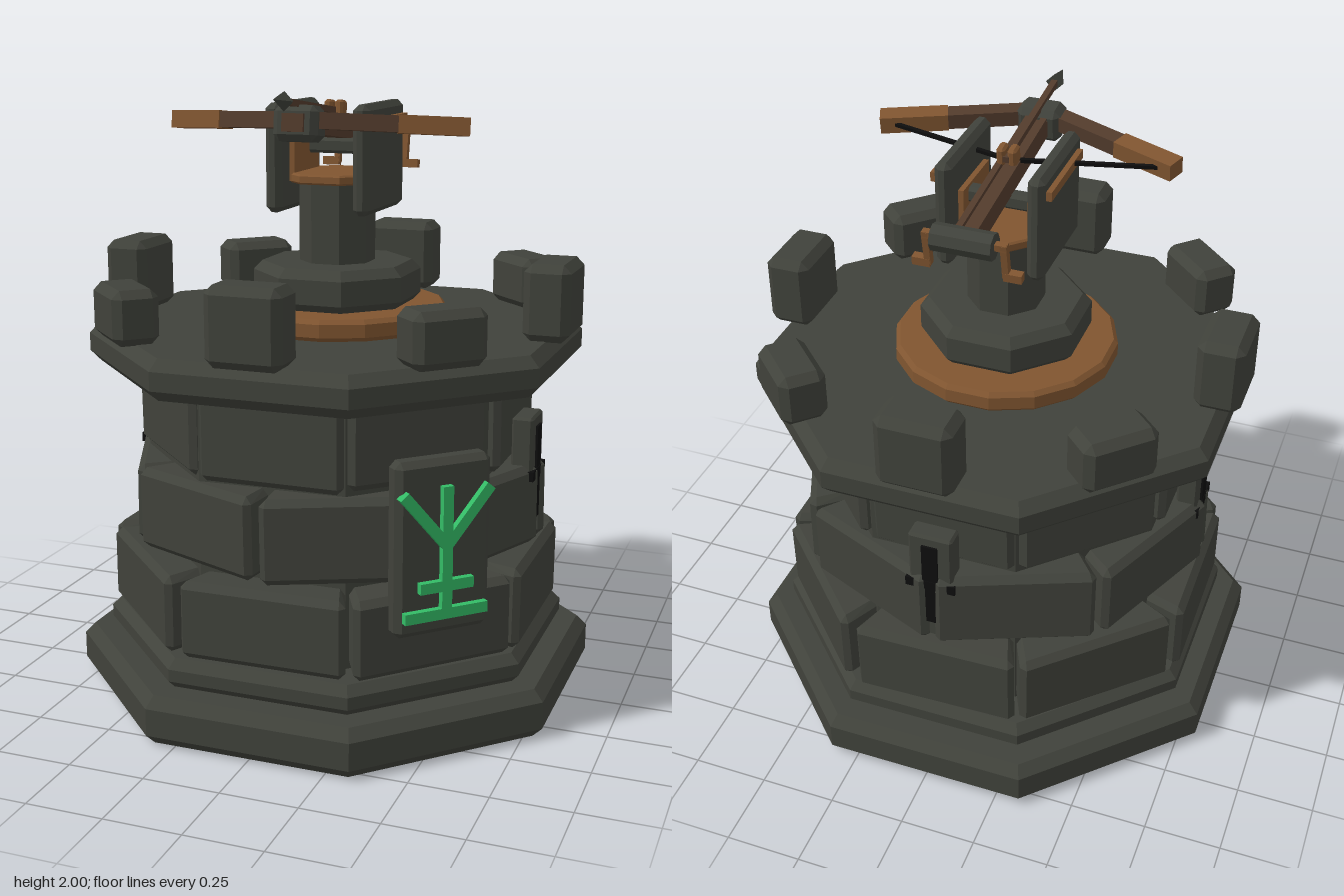
import * as THREE from 'three';
import { ConvexGeometry } from 'three/addons/geometries/ConvexGeometry.js';

const mat = (name, color) => {
  const m = new THREE.MeshStandardMaterial({ color, flatShading: true });
  m.name = name;
  return m;
};

export function createModel() {
  const stone = mat('dark stone', 0x40423b);
  const wood = mat('wood', 0x805530);
  const darkWood = mat('dark wood', 0x523b2c);
  const black = mat('black', 0x0e0e0e);
  const green = mat('rune green', 0x33bb66);
  const model = new THREE.Group();
  model.name = 'ballistaTower';

  let seed = 7;
  const jitter = (a) => {
    seed = (seed * 16807) % 2147483647;
    return (seed / 2147483647 - 0.5) * 2 * a;
  };

  const add = (parent, name, geo, material, x = 0, y = 0, z = 0) => {
    const m = new THREE.Mesh(geo, material);
    m.name = name;
    m.position.set(x, y, z);
    parent.add(m);
    return m;
  };

  // Box with every edge cut; taper narrows the back face
  const bevelBox = (w, h, d, b, taper = 0) => {
    const pts = [];
    for (const sx of [-1, 1]) for (const sy of [-1, 1]) for (const sz of [-1, 1]) {
      for (let axis = 0; axis < 3; axis++) {
        const c = [w, h, d].map((s, i) => s / 2 - (i === axis ? 0 : b));
        const z = sz * c[2];
        pts.push(new THREE.Vector3(sx * c[0] * (1 - taper * (0.5 - z / d)), sy * c[1], z));
      }
    }
    return new ConvexGeometry(pts);
  };

  // Faceted slab with bevelled rims; r is the distance to a flat side
  const slab = (name, r, y0, y1, b, material, sides = 8) => {
    const R = r / Math.cos(Math.PI / sides);
    const pts = [[0, y0], [R - b, y0], [R, y0 + b], [R, y1 - b], [R - b, y1], [0, y1]];
    const geo = new THREE.LatheGeometry(pts.map((p) => new THREE.Vector2(...p)), sides, Math.PI / sides);
    return add(model, name, geo, material);
  };

  // Straight square bar between two points
  const bar = (parent, name, a, b, w, h, material) => {
    const A = new THREE.Vector3(...a), B = new THREE.Vector3(...b);
    const m = new THREE.Mesh(new THREE.BoxGeometry(w, h, A.distanceTo(B)), material);
    m.name = name;
    m.position.copy(A).lerp(B, 0.5);
    m.lookAt(B);
    parent.add(m);
    return m;
  };

  // Group turned so that its +z faces outwards at an angle
  const facing = (name, angle) => {
    const g = new THREE.Group();
    g.name = name;
    g.rotation.y = angle;
    model.add(g);
    return g;
  };

  // Base, core and platform
  slab('plinth', 0.81, 0, 0.16, 0.035, stone);
  slab('plinthStep', 0.72, 0.155, 0.255, 0.03, stone);
  slab('core', 0.585, 0.24, 1.12, 0.01, stone);
  slab('platform', 0.76, 1.095, 1.225, 0.035, stone);

  // Three staggered courses of blocks
  const courses = [[0.71, 0.39, 0.26, 0], [0.665, 0.675, 0.265, 0.5], [0.618, 0.955, 0.265, 0]];
  for (const [r, y, h, offset] of courses) {
    const w = 2 * r * Math.tan(Math.PI / 8) - 0.03;
    for (let i = 0; i < 8; i++) {
      const g = facing('wallBlockSide', (i + offset) * Math.PI / 4);
      const geo = bevelBox(w, h + jitter(0.008), 0.16, 0.022, 0.2);
      const block = add(g, 'wallBlock', geo, stone, jitter(0.008), y, r - 0.08 + jitter(0.006));
      block.rotation.set(jitter(0.015), jitter(0.02), jitter(0.012));
    }
  }

  // Battlements, alternately tall and low
  for (let i = 0; i < 8; i++) {
    const h = i % 2 ? 0.175 : 0.245;
    const g = facing('battlement', i * Math.PI / 4);
    add(g, 'merlon', bevelBox(0.245, h, 0.15, 0.026), stone, 0, 1.223 + h / 2, 0.728);
  }

  // Arrow slits on both sides and the back
  for (const angle of [Math.PI / 2, Math.PI, -Math.PI / 2]) {
    const g = facing('arrowSlit', angle);
    add(g, 'slitFrame', bevelBox(0.145, 0.41, 0.07, 0.008), stone, 0, 0.76, 0.655);
    add(g, 'slitUpright', new THREE.BoxGeometry(0.052, 0.31, 0.009), black, 0, 0.775, 0.693);
    add(g, 'slitCross', new THREE.BoxGeometry(0.165, 0.032, 0.03), black, 0, 0.775, 0.684);
  }

  // Rune tablet on the front corner face
  const tablet = facing('runeTablet', Math.PI / 4);
  add(tablet, 'tabletSlab', bevelBox(0.32, 0.55, 0.075, 0.02), stone, 0, 0.675, 0.728);
  const strokes = [
    [0, 0.47, 0, 0.87], [-0.14, 0.472, 0.14, 0.472], [-0.09, 0.56, 0.09, 0.56],
    [0, 0.685, 0.145, 0.855], [0, 0.685, -0.145, 0.855],
  ];
  for (const [x0, y0, x1, y1] of strokes) {
    const len = Math.hypot(x1 - x0, y1 - y0);
    const s = add(tablet, 'runeStroke', new THREE.BoxGeometry(len, 0.034, 0.03), green,
      (x0 + x1) / 2, (y0 + y1) / 2, 0.772);
    s.rotation.z = Math.atan2(y1 - y0, x1 - x0);
  }

  // Turntable and pedestal
  slab('turntable', 0.358, 1.225, 1.295, 0.014, wood, 16);
  slab('hub', 0.255, 1.29, 1.43, 0.03, stone);
  slab('post', 0.115, 1.42, 1.695, 0.005, stone);
  slab('cradleFloor', 0.165, 1.69, 1.722, 0.006, wood);

  // Cradle cheeks with wooden linings and outer strips
  for (const s of [-1, 1]) {
    add(model, 'cheekPlate', bevelBox(0.055, 0.345, 0.365, 0.018), stone, s * 0.147, 1.773, 0.018);
    add(model, 'cheekLining', new THREE.BoxGeometry(0.02, 0.14, 0.22), wood, s * 0.112, 1.765, 0.01);
    add(model, 'cheekStrip', new THREE.BoxGeometry(0.018, 0.03, 0.3), wood, s * 0.183, 1.888, 0.01);
  }
  add(model, 'cradleAxle', bevelBox(0.25, 0.05, 0.05, 0.01), stone, 0, 1.8, -0.035);

  // Crossbow, tilted upwards
  const bow = new THREE.Group();
  bow.name = 'crossbow';
  bow.position.y = 1.855;
  bow.rotation.x = -0.12;
  model.add(bow);
  add(bow, 'stock', new THREE.BoxGeometry(0.07, 0.055, 0.745), darkWood, 0, 0, 0.0225);
  add(bow, 'headBlock', bevelBox(0.145, 0.11, 0.1, 0.02), stone, 0, 0, 0.335);
  for (const s of [-1, 1]) {
    add(bow, 'stockRail', new THREE.BoxGeometry(0.02, 0.015, 0.62), darkWood, s * 0.025, 0.033, -0.03);
    bar(bow, 'innerLimb', [s * 0.04, 0.01, 0.34], [s * 0.29, 0.01, 0.242], 0.055, 0.05, darkWood);
    bar(bow, 'limbTip', [s * 0.285, 0.01, 0.244], [s * 0.487, 0.01, 0.166], 0.064, 0.055, wood);
    bar(bow, 'string', [s * 0.43, 0.012, 0.158], [0, 0.04, 0.03], 0.012, 0.012, black);
    add(bow, 'stringCatch', bevelBox(0.028, 0.06, 0.05, 0.008), wood, s * 0.018, 0.062, 0.025);
    // Winding cranks
    bar(bow, 'crankAxle', [s * 0.09, 0.01, -0.355], [s * 0.13, 0.01, -0.355], 0.022, 0.022, wood);
    bar(bow, 'crankArm', [s * 0.122, 0.02, -0.355], [s * 0.122, -0.1, -0.347], 0.02, 0.024, wood);
    bar(bow, 'crankGrip', [s * 0.115, -0.095, -0.347], [s * 0.172, -0.095, -0.347], 0.028, 0.028, wood);
  }
  const drum = add(bow, 'windlassDrum', new THREE.CylinderGeometry(0.043, 0.043, 0.19, 8), stone, 0, 0.01, -0.36);
  drum.rotation.z = Math.PI / 2;

  // Loaded bolt
  bar(bow, 'boltShaft', [0, 0.058, 0], [0, 0.058, 0.48], 0.02, 0.02, darkWood);
  const tip = add(bow, 'boltHead', new THREE.ConeGeometry(0.03, 0.085, 4), stone, 0, 0.058, 0.507);
  tip.rotation.x = Math.PI / 2;

  return model;
}
